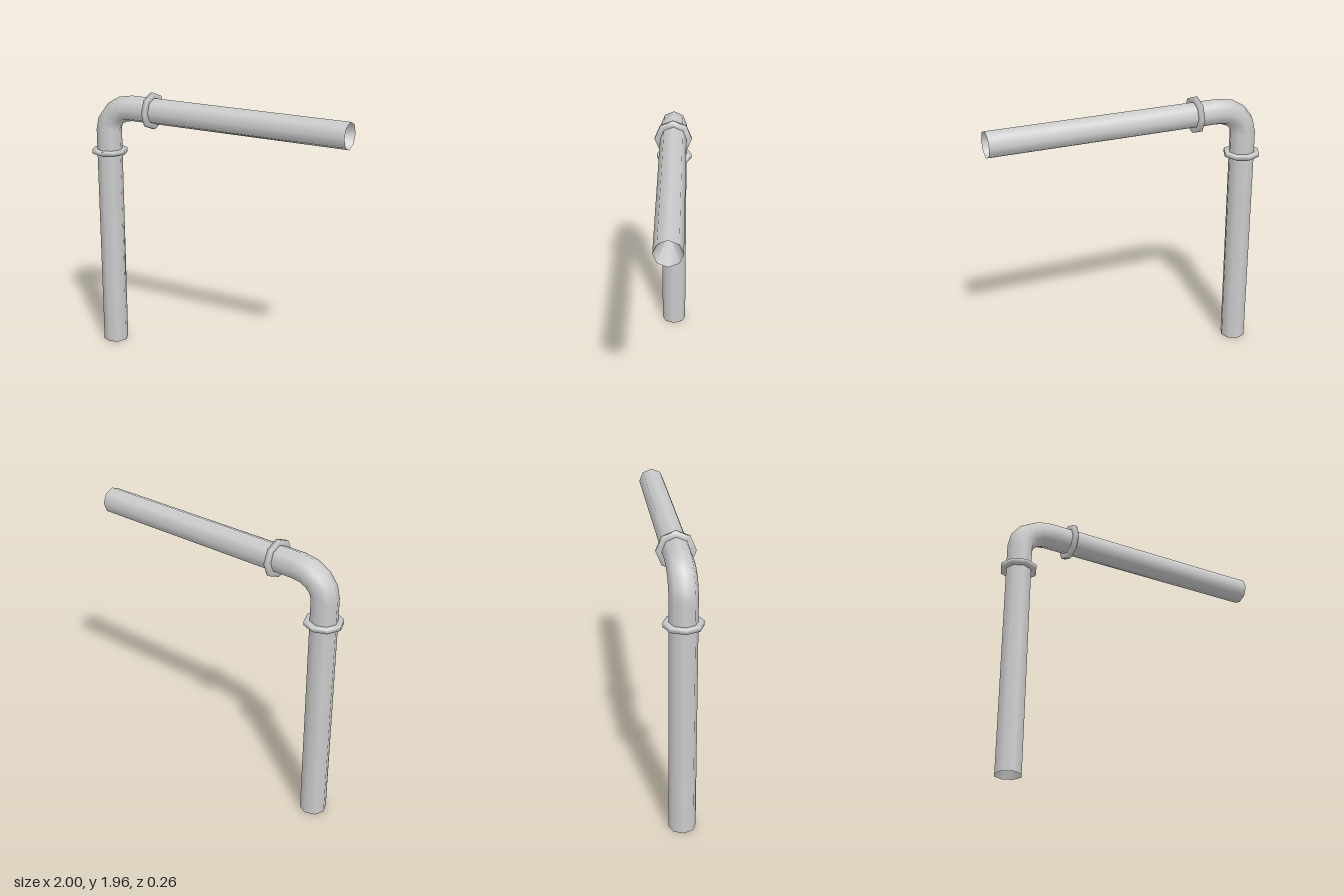
import * as THREE from 'three';

const SIDES = 8, R = 0.0925;
const PIPE_X = -0.87, PIPE_Y = 1.8275;

export function createModel() {
  const group = new THREE.Group();
  const material = new THREE.MeshStandardMaterial({ color: 0xcccccc });
  const inside = new THREE.MeshStandardMaterial({ color: 0xcccccc, side: THREE.DoubleSide });
  const add = (name, geometry, mat = material) => {
    const mesh = new THREE.Mesh(geometry, mat);
    mesh.name = name;
    group.add(mesh);
    return mesh;
  };

  // Centre line: upright run, four-step elbow, horizontal run
  const path = [{ x: PIPE_X, y: 0, a: 0 }];
  for (let i = 0; i <= 4; i++) {
    const a = (i / 4) * Math.PI / 2;
    path.push({ x: -0.66 - 0.21 * Math.cos(a), y: 1.66 + (PIPE_Y - 1.66) * Math.sin(a), a });
  }
  path.push({ x: 1, y: PIPE_Y, a: Math.PI / 2 });

  // Octagonal rings swept along the centre line
  const pos = [], normals = [], index = [];
  path.forEach(({ x, y, a }, i) => {
    for (let j = 0; j < SIDES; j++) {
      const t = (j / SIDES) * Math.PI * 2;
      const out = Math.cos(t), nz = Math.sin(t);
      const nx = -out * Math.cos(a), ny = out * Math.sin(a);
      pos.push(x + R * nx, y + R * ny, R * nz);
      normals.push(nx, ny, nz);
      if (i === 0) continue;
      const k = (j + 1) % SIDES;
      const p = (i - 1) * SIDES, q = i * SIDES;
      index.push(p + j, p + k, q + j, p + k, q + k, q + j);
    }
  });
  const pipe = new THREE.BufferGeometry();
  pipe.setAttribute('position', new THREE.Float32BufferAttribute(pos, 3));
  pipe.setAttribute('normal', new THREE.Float32BufferAttribute(normals, 3));
  pipe.setIndex(index);
  add('pipe', pipe);

  // Softly shaded collars on both sides of the elbow
  const profile = [[0.088, 0], [0.088, -0.015], [0.13, -0.015], [0.13, 0.015], [0.088, 0.015], [0.088, 0]]
    .map(([r, y]) => new THREE.Vector2(r, y));
  const collar = new THREE.LatheGeometry(profile, SIDES);
  add('lowerCollar', collar).position.set(PIPE_X, 1.495, 0);
  const upper = add('upperCollar', collar);
  upper.position.set(-0.49, PIPE_Y, 0);
  upper.rotation.z = Math.PI / 2;

  // Recessed conical hollows in the two open ends
  const depth = 0.25;
  const hollow = new THREE.ConeGeometry(R, depth, SIDES, 1, true);
  add('bottomOpening', hollow, inside).position.set(PIPE_X, depth / 2, 0);
  const end = add('sideOpening', hollow, inside);
  end.position.set(1 - depth / 2, PIPE_Y, 0);
  end.rotation.z = Math.PI / 2;

  return group;
}
